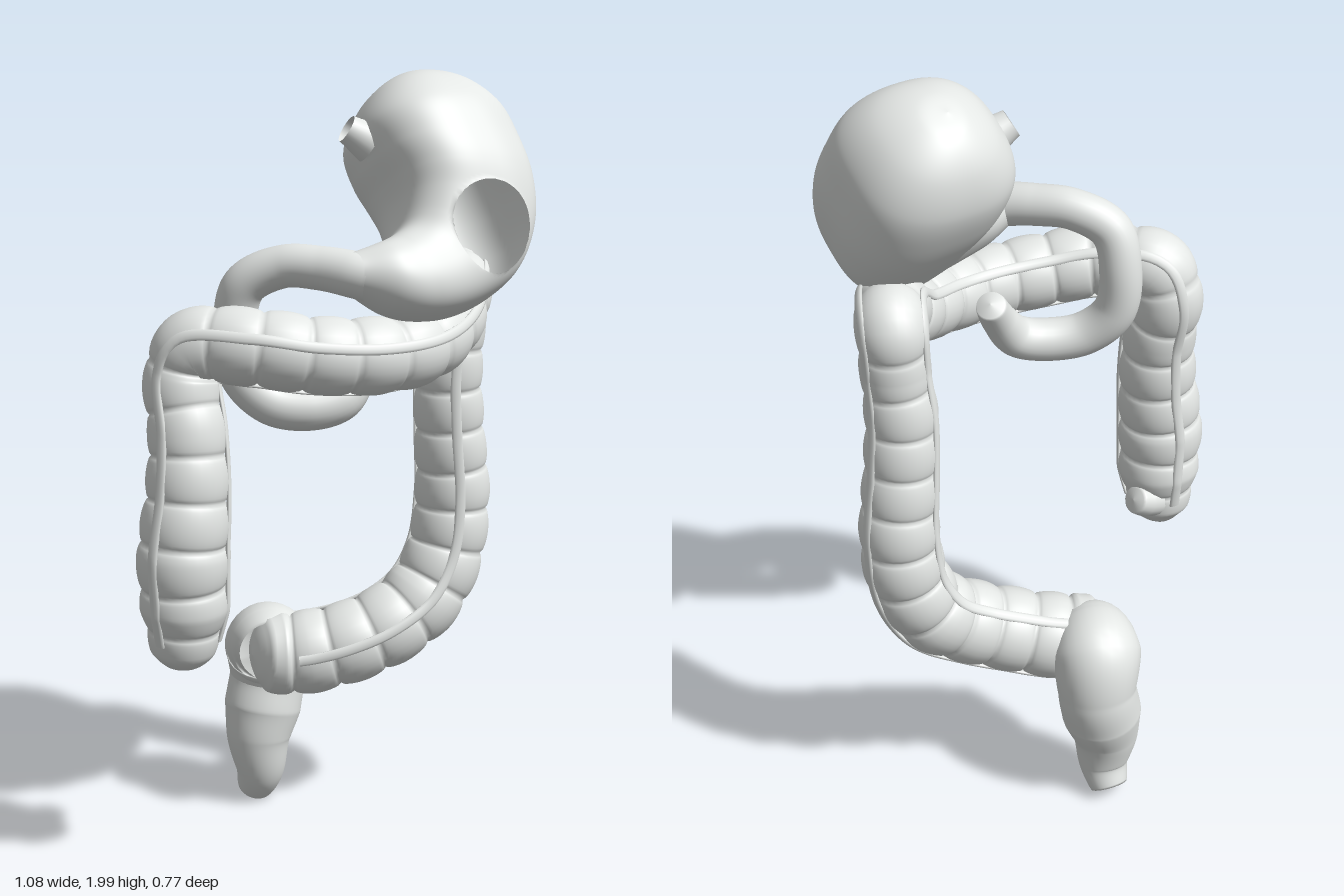
import * as THREE from 'three';

const V = (x, y, z) => new THREE.Vector3(x, y, z);

// Surface from closed rings: at(u, angle) gives the point on ring u
function loft(rows, cols, at) {
  const pos = [], idx = [];
  for (let i = 0; i <= rows; i++)
    for (let j = 0; j < cols; j++) pos.push(...at(i / rows, (j / cols) * Math.PI * 2, i).toArray());
  for (let i = 0; i < rows; i++)
    for (let j = 0; j < cols; j++) {
      const a = i * cols + j, b = i * cols + ((j + 1) % cols);
      idx.push(a, b, a + cols, b, b + cols, a + cols);
    }
  const g = new THREE.BufferGeometry();
  g.setAttribute('position', new THREE.Float32BufferAttribute(pos, 3));
  g.setIndex(idx);
  g.computeVertexNormals();
  return g;
}

// Path with a radius at every point, sampled evenly along its length
function makePath(points, rows) {
  const curve = new THREE.CatmullRomCurve3(points.map(p => V(p[0], p[1], p[2])));
  curve.arcLengthDivisions = 1000;
  const frames = curve.computeFrenetFrames(rows, false);
  const radius = u => {
    const t = curve.getUtoTmapping(u) * (points.length - 1);
    const k = Math.min(Math.floor(t), points.length - 2);
    return THREE.MathUtils.lerp(points[k][3], points[k + 1][3], t - k);
  };
  const dir = (i, a) => frames.normals[i].clone().multiplyScalar(Math.cos(a))
    .addScaledVector(frames.binormals[i], Math.sin(a));
  return { curve, frames, radius, dir };
}

function tube(points, rows, cols, bulge = () => 1) {
  const p = makePath(points, rows);
  return loft(rows, cols, (u, a, i) =>
    p.curve.getPointAt(u).addScaledVector(p.dir(i, a), p.radius(u) * bulge(u)));
}

// Cut a round opening of radius r along an axis, snapping its rim to the circle
function punch(g, centre, axis, r) {
  const pos = g.attributes.position, inside = [], p = V(0, 0, 0);
  for (let i = 0; i < pos.count; i++) {
    p.fromBufferAttribute(pos, i).sub(centre);
    const along = p.dot(axis);
    p.addScaledVector(axis, -along);
    inside[i] = along > 0 && p.length() < r;
    if (inside[i]) {
      p.setLength(r).addScaledVector(axis, along).add(centre);
      pos.setXYZ(i, p.x, p.y, p.z);
    }
  }
  const old = g.index.array, keep = [];
  for (let k = 0; k < old.length; k += 3)
    if (!(inside[old[k]] && inside[old[k + 1]] && inside[old[k + 2]])) keep.push(old[k], old[k + 1], old[k + 2]);
  g.setIndex(keep);
  g.computeVertexNormals();
}

export function createModel() {
  const group = new THREE.Group();
  const tissue = new THREE.MeshStandardMaterial({ color: 0xe4e7e5, side: THREE.DoubleSide });
  const add = (name, geometry) => {
    const m = new THREE.Mesh(geometry, tissue);
    m.name = name;
    group.add(m);
    return m;
  };

  // Stomach: sections between the inner and outer curve of a tilted J
  // [inner x, inner v, outer x, outer v, half depth, forward shift]
  const sections = [
    [.28, .2, .28, .2, 0, 0], [.23, .193, .35, .188, .065, 0], [.15, .145, .43, .135, .14, 0],
    [.092, .06, .48, .05, .188, 0], [.098, -.02, .492, -.05, .197, 0], [.118, -.09, .488, -.16, .192, .003],
    [.122, -.14, .458, -.27, .173, .004], [.11, -.19, .38, -.37, .148, .006], [.09, -.22, .25, -.43, .118, .015],
    [.045, -.243, .11, -.45, .1, .025], [-.01, -.258, .01, -.43, .088, .028], [-.07, -.268, -.08, -.368, .055, .02],
  ];
  const inner = new THREE.CatmullRomCurve3(sections.map(s => V(s[0], s[1], s[4])));
  const outer = new THREE.CatmullRomCurve3(sections.map(s => V(s[2], s[3], s[5])));
  const up = V(0, .85, -.53).normalize(), depth = V(0, .53, .85).normalize();
  const stomach = loft(130, 100, (u, a) => {
    const l = inner.getPoint(u), o = outer.getPoint(u);
    // fuller, slightly squared sections in the middle of the body
    const full = w => Math.sign(w) * Math.abs(w) ** (1 - .3 * Math.sin(Math.PI * u));
    const k = (1 + full(Math.cos(a))) / 2;
    return V(l.x + (o.x - l.x) * k, 1.8, .08)
      .addScaledVector(up, l.y + (o.y - l.y) * k)
      .addScaledVector(depth, Math.max(l.z, 0) * full(Math.sin(a)) + o.z);
  });
  const gulletAxis = V(-.78, .5, -.3).normalize(), gulletEnd = V(.06, 1.862, .045);
  punch(stomach, V(.28, 1.64, .15), V(0, 0, 1), .112);
  punch(stomach, gulletEnd.clone().addScaledVector(gulletAxis, -.12), gulletAxis, .04);
  add('stomach', stomach);

  // Open, flared stub of the gullet
  const stub = add('gulletStub', new THREE.LatheGeometry(
    [[.052, -.07], [.046, -.045], [.039, -.02], [.035, 0]].map(p => new THREE.Vector2(...p)), 32));
  stub.quaternion.setFromUnitVectors(V(0, 1, 0), gulletAxis);
  stub.position.copy(gulletEnd);

  // Duodenum: loop behind the transverse colon
  add('duodenum', tube([
    [-.035, 1.528, .285, .056], [-.065, 1.538, .248, .056], [-.11, 1.548, .185, .053], [-.17, 1.548, .11, .052],
    [-.235, 1.5, .04, .054], [-.245, 1.4, .01, .054], [-.235, 1.28, .02, .055], [-.18, 1.21, .07, .056],
    [-.1, 1.195, .12, .056], [-.025, 1.215, .15, .054], [.03, 1.28, .145, .046], [.075, 1.35, .12, .038],
    [.079, 1.357, .116, 0],
  ], 120, 28));

  // Colon with pouches
  const colonPoints = [
    [-.42, .558, .03, 0], [-.42, .567, .03, .04], [-.42, .605, .035, .08], [-.42, .72, .045, .11],
    [-.425, .86, .05, .115], [-.41, 1, .05, .105], [-.4, 1.15, .037, .097], [-.395, 1.29, .007, .094],
    [-.375, 1.36, .03, .093], [-.27, 1.365, .135, .096], [-.15, 1.345, .205, .096], [0, 1.335, .25, .096],
    [.15, 1.345, .24, .096], [.3, 1.39, .16, .092], [.39, 1.462, .075, .09], [.42, 1.448, .025, .088],
    [.418, 1.33, .02, .086], [.412, 1.2, .012, .091], [.422, 1.05, .008, .095], [.436, .88, .005, .102],
    [.415, .72, .003, .106], [.35, .605, -.005, .11], [.25, .535, -.027, .111], [.15, .492, -.07, .112],
    [.06, .467, -.125, .114], [0, .462, -.16, .113], [-.045, .465, -.177, .1], [-.072, .466, -.185, .06],
    [-.08, .466, -.187, 0],
  ];
  const pouches = 29;
  add('colon', tube(colonPoints, 435, 32, u => .88 + .12 * Math.sqrt(Math.abs(Math.sin(Math.PI * pouches * u)))));

  // Three raised muscle bands running along the colon
  const path = makePath(colonPoints, 300);
  const mid = 125, front = V(0, .35, 1);
  const phase = Math.atan2(front.dot(path.frames.binormals[mid]), front.dot(path.frames.normals[mid]));
  for (let k = 0; k < 3; k++) {
    const angle = phase + (k * Math.PI * 2) / 3, first = 8, last = 288;
    add('colonBand' + (k + 1), loft(last - first, 10, (v, a, n) => {
      const i = n + first, u = i / 300;
      return path.curve.getPointAt(u)
        .addScaledVector(path.dir(i, angle), path.radius(u) * .98 + .006 * Math.cos(a))
        .addScaledVector(path.dir(i, angle + Math.PI / 2), .014 * Math.sin(a));
    }));
  }

  // Short stub where the small bowel joins the caecum
  add('ileumStub', tube([
    [-.39, .65, .01, .05], [-.34, .665, .005, .046], [-.305, .68, 0, .036], [-.3, .682, 0, 0],
  ], 20, 20));

  // Rectum, closed by a flat slanted end
  add('rectum', tube([
    [-.03, .47, -.17, .085], [-.015, .475, -.2, .105], [.01, .46, -.25, .117], [.025, .37, -.275, .103],
    [.006, .28, -.272, .105], [-.01, .2, -.268, .088], [-.005, .1, -.27, .066], [0, .036, -.305, .047],
    [0, .035, -.3055, 0],
  ], 110, 32));
  return group;
}
